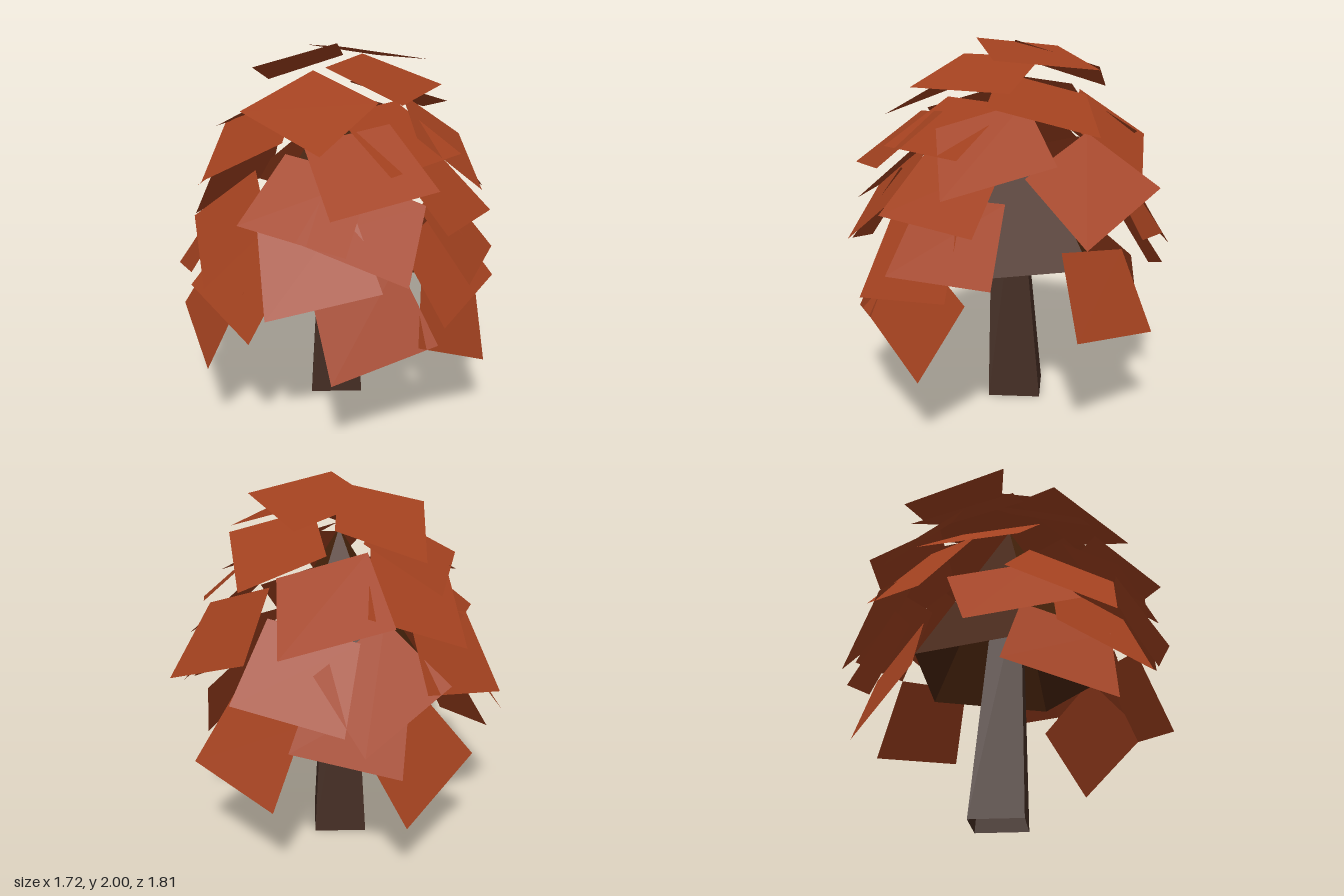
import * as THREE from 'three';

const rad = THREE.MathUtils.degToRad;

const mat = (name, color) => {
  const m = new THREE.MeshStandardMaterial({ color, side: THREE.DoubleSide });
  m.name = name;
  return m;
};

// Split the corners so every face is flat
const faceted = (g) => {
  const f = g.toNonIndexed();
  f.computeVertexNormals();
  return f;
};

// Leaf cards by tier: centre x, y, z, then heading, slope and spin in degrees
const tiers = {
  crown: [
    [0, 1.93, -0.205, 189, 13, -30], [0.25, 1.84, -0.09, 110, 18, 0],
    [-0.33, 1.855, -0.05, 268, 24, 45],
  ],
  upper: [
    [0.16, 1.725, 0.33, 28, 26, -30], [-0.17, 1.56, 0.45, 339, 31, -35],
    [-0.37, 1.66, 0.14, 290, 30, 12], [-0.345, 1.51, -0.445, 201, 42, 26],
    [0.08, 1.7, -0.38, 180, 24, -40], [0.41, 1.57, -0.02, 93, 30, 0],
    [0.42, 1.5, -0.36, 122, 42, 25], [0.5, 1.48, 0.3, 59, 36, 12],
  ],
  middle: [
    [-0.4, 1.43, 0.28, 305, 37, -10], [0.3, 1.31, 0.49, 32, 40, -13],
    [0.57, 1.29, -0.2, 109, 43, -5], [0.54, 1.21, 0.33, 59, 45, -30],
    [0.1, 1.33, -0.74, 159, 45, 32], [-0.56, 1.51, -0.06, 270, 44, -34],
    [-0.15, 1.12, 0.63, 346, 49, -28], [-0.67, 1.19, 0.12, 277, 52, -19],
    [-0.33, 1.19, -0.63, 217, 58, -13], [-0.6, 1.14, -0.36, 240, 54, 30],
  ],
  lower: [
    [-0.46, 0.98, 0.54, 319, 54, 20], [0.42, 1.06, 0.58, 38, 58, 16],
    [0, 0.89, 0.68, 0, 58, -15], [0.61, 1.05, -0.28, 115, 51, 0],
    [0.7, 0.94, -0.09, 97, 56, 10], [-0.54, 0.96, -0.46, 238, 60, -20],
  ],
  skirt: [
    [-0.24, 0.68, 0.69, 341, 66, -15], [0.6, 0.73, 0.37, 58, 65, 14],
    [0.72, 0.67, -0.12, 99, 67, -28], [-0.05, 0.74, -0.71, 187, 61, -10],
    [-0.67, 0.68, -0.13, 259, 67, 25],
  ],
};

export function createModel() {
  const tree = new THREE.Group();
  tree.name = 'tree';
  const bark = mat('bark', 0x432c22);
  const core = mat('inner foliage', 0x46220b);
  const leafMat = mat('autumn leaves', 0xa2411f);

  // Hollow four-sided trunk leaning slightly, running up into the crown
  const height = 1.35;
  const trunkGeo = new THREE.CylinderGeometry(0.1, 0.203, height, 4, 1, true);
  trunkGeo.translate(0, height / 2, 0);
  const p = trunkGeo.attributes.position;
  for (let i = 0; i < p.count; i++) {
    const lean = 1 - p.getY(i) / height;
    p.setX(i, p.getX(i) - 0.04 * lean);
    p.setZ(i, p.getZ(i) - 0.035 * lean);
  }
  const trunk = new THREE.Mesh(faceted(trunkGeo), bark);
  trunk.name = 'trunk';
  tree.add(trunk);

  // Dark five-sided cone inside the crown, open underneath
  const coneGeo = new THREE.ConeGeometry(0.57, 0.92, 5, 1, true);
  const cone = new THREE.Mesh(faceted(coneGeo), core);
  cone.name = 'innerFoliage';
  cone.position.y = 1.28;
  cone.rotation.y = rad(46);
  tree.add(cone);

  // One leaf card, wider along its outer, lower edge
  const leafGeo = new THREE.ShapeGeometry(new THREE.Shape([
    new THREE.Vector2(-0.29, -0.23), new THREE.Vector2(0.29, -0.23),
    new THREE.Vector2(0.235, 0.23), new THREE.Vector2(-0.235, 0.23),
  ]));

  // Overlapping tiers of leaves around the cone
  for (const [tier, leaves] of Object.entries(tiers)) {
    const group = new THREE.Group();
    group.name = `${tier}Leaves`;
    for (const [x, y, z, heading, slope, spin] of leaves) {
      const leaf = new THREE.Mesh(leafGeo, leafMat);
      leaf.name = 'leaf';
      leaf.position.set(x, y, z);
      leaf.rotation.set(rad(slope - 90), rad(heading), rad(spin), 'YXZ');
      group.add(leaf);
    }
    tree.add(group);
  }
  return tree;
}
